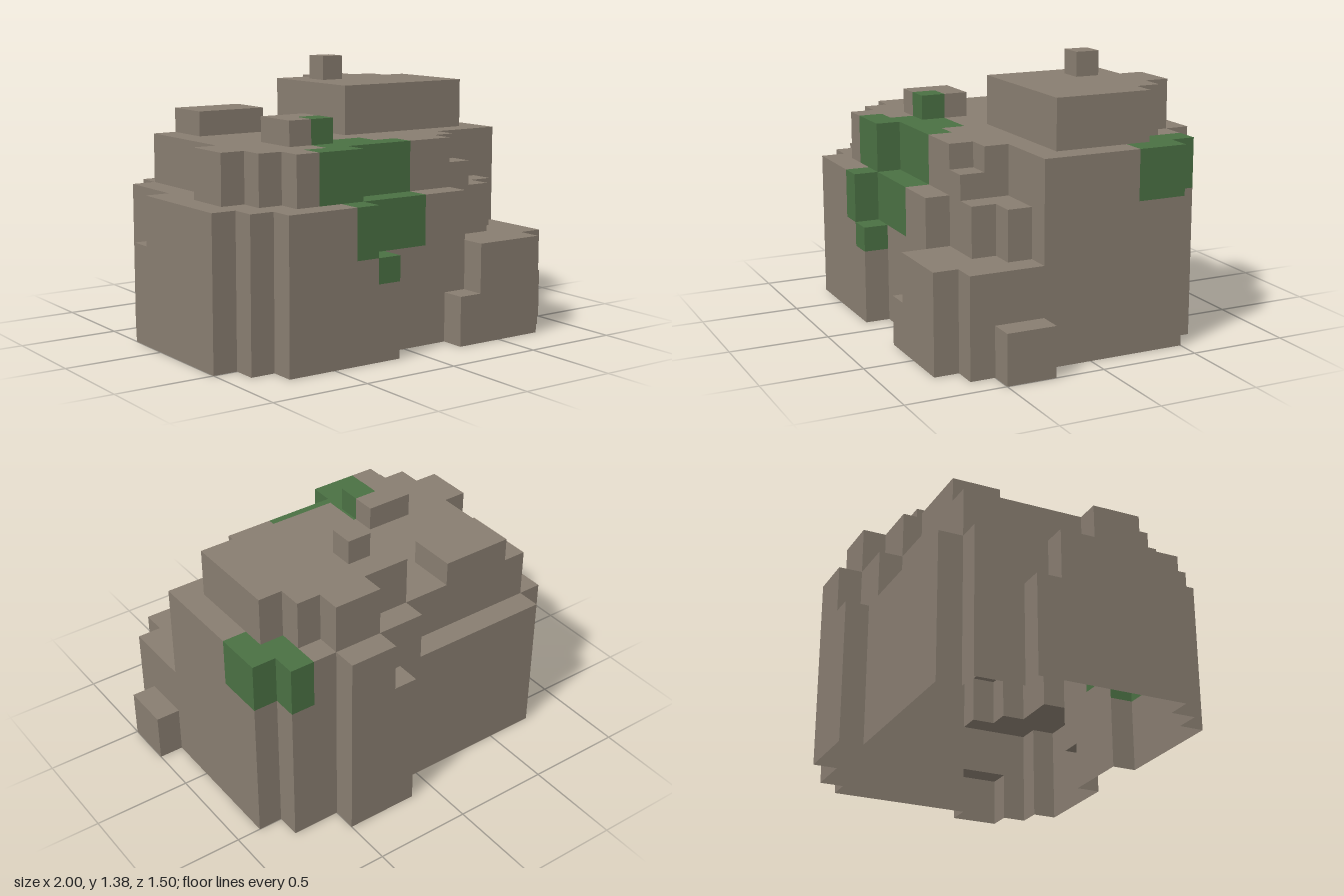
import * as THREE from 'three';

const CELL = 0.125;

// Footprints in cells: [x0, x1, z0, z1, height]; later ones replace earlier ones
const PARTS = {
  mainBoulder: [
    [0, 6, -5, -4, 8], [-6, 7, -4, 2, 8], [-7, -6, 1, 3, 8], [-6, 4, 2, 3, 8],
    [-6, 3, 3, 4, 8], [-5, -2, 4, 5, 8], [2, 4, -6, -5, 8],
  ],
  sideLedges: [
    [-6, 0, -5, -4, 6], [-7, -6, -4, 1, 6], [-8, -7, -1, 4, 6], [-7, -6, 3, 4, 6],
    [-7, -5, 4, 5, 6], [-6, -2, 5, 6, 6], [-2, 3, 4, 5, 6],
    [-8, -7, -2, -1, 4], [1, 2, -6, -5, 6], [-2, -1, 5, 6, 4],
  ],
  frontSteps: [
    [3, 7, 4, 5, 4], [3, 6, 5, 6, 4], [5, 7, 3, 4, 4], [6, 7, 2, 3, 4],
    [2, 3, 5, 6, 2], [7, 8, 2, 4, 2],
    [3, 4, 3, 4, 7], [4, 5, 3, 4, 6], [4, 6, 2, 3, 6],
  ],
  topBlock: [[2, 4, -5, -4, 10], [0, 5, -4, -3, 10], [0, 6, -3, 1, 10]],
  topKnob: [[1, 2, -3, -2, 11]],
  topSlabs: [[-5, -2, -4, -2, 9], [-4, -2, 1, 3, 9]],
};

// Mossy regions in cells: [x0, x1, y0, y1, z0, z1]
const MOSS = [
  [-4, -2, 6, 8, 4, 5], [-3, 1, 6, 8, 3, 4], [-3, 0, 7, 8, 2, 3], [-3, -2, 8, 9, 2, 3],
  [-3, -2, 4, 6, 5, 6], [-2, 1, 4, 6, 4, 5], [-2, -1, 3, 4, 5, 6],
  [5, 6, 6, 8, -5, -4], [5, 7, 6, 8, -4, -3], [6, 7, 6, 8, -3, -2],
];

const isMoss = (x, y, z) => MOSS.some(([a, b, c, d, e, f]) =>
  x >= a && x < b && y >= c && y < d && z >= e && z < f);

// Each side: direction to the neighbour and the two bottom corners, left to right from outside
const SIDES = [
  { dx: 1, dz: 0, a: [1, 1], b: [1, 0] },
  { dx: -1, dz: 0, a: [0, 0], b: [0, 1] },
  { dx: 0, dz: 1, a: [0, 1], b: [1, 1] },
  { dx: 0, dz: -1, a: [1, 0], b: [0, 0] },
];

function quadGeometry(quads) {
  const positions = [];
  for (const [a, b, c, d] of quads) positions.push(...a, ...b, ...c, ...a, ...c, ...d);
  const geometry = new THREE.BufferGeometry();
  geometry.setAttribute('position', new THREE.Float32BufferAttribute(positions, 3));
  geometry.scale(CELL, CELL, CELL);
  geometry.computeVertexNormals();
  return geometry;
}

export function createModel() {
  const group = new THREE.Group();
  group.name = 'mossyRock';
  const rock = new THREE.MeshStandardMaterial({ color: 0x887d70, side: THREE.DoubleSide, flatShading: true });
  rock.name = 'rock';
  const moss = new THREE.MeshStandardMaterial({ color: 0x4a7043, side: THREE.DoubleSide, flatShading: true });
  moss.name = 'moss';

  // Height and owning part of every cell
  const cells = new Map();
  for (const [part, rects] of Object.entries(PARTS)) {
    for (const [x0, x1, z0, z1, h] of rects) {
      for (let x = x0; x < x1; x++) {
        for (let z = z0; z < z1; z++) cells.set(`${x},${z}`, { x, z, h, part });
      }
    }
  }
  const heightAt = (x, z) => cells.get(`${x},${z}`)?.h ?? 0;

  // Outer shell with an open underside: tops, plus walls above each lower neighbour
  for (const part of Object.keys(PARTS)) {
    const rockQuads = [];
    const mossQuads = [];
    const listFor = (x, y, z) => (isMoss(x, y, z) ? mossQuads : rockQuads);
    for (const { x, z, h, part: owner } of cells.values()) {
      if (owner !== part) continue;
      listFor(x, h - 1, z).push([[x, h, z + 1], [x + 1, h, z + 1], [x + 1, h, z], [x, h, z]]);
      for (const { dx, dz, a, b } of SIDES) {
        for (let y = heightAt(x + dx, z + dz); y < h; y++) {
          listFor(x, y, z).push([
            [x + a[0], y, z + a[1]], [x + b[0], y, z + b[1]],
            [x + b[0], y + 1, z + b[1]], [x + a[0], y + 1, z + a[1]],
          ]);
        }
      }
    }
    for (const [quads, material, suffix] of [[rockQuads, rock, ''], [mossQuads, moss, 'Moss']]) {
      if (!quads.length) continue;
      const mesh = new THREE.Mesh(quadGeometry(quads), material);
      mesh.name = part + suffix;
      group.add(mesh);
    }
  }
  return group;
}
